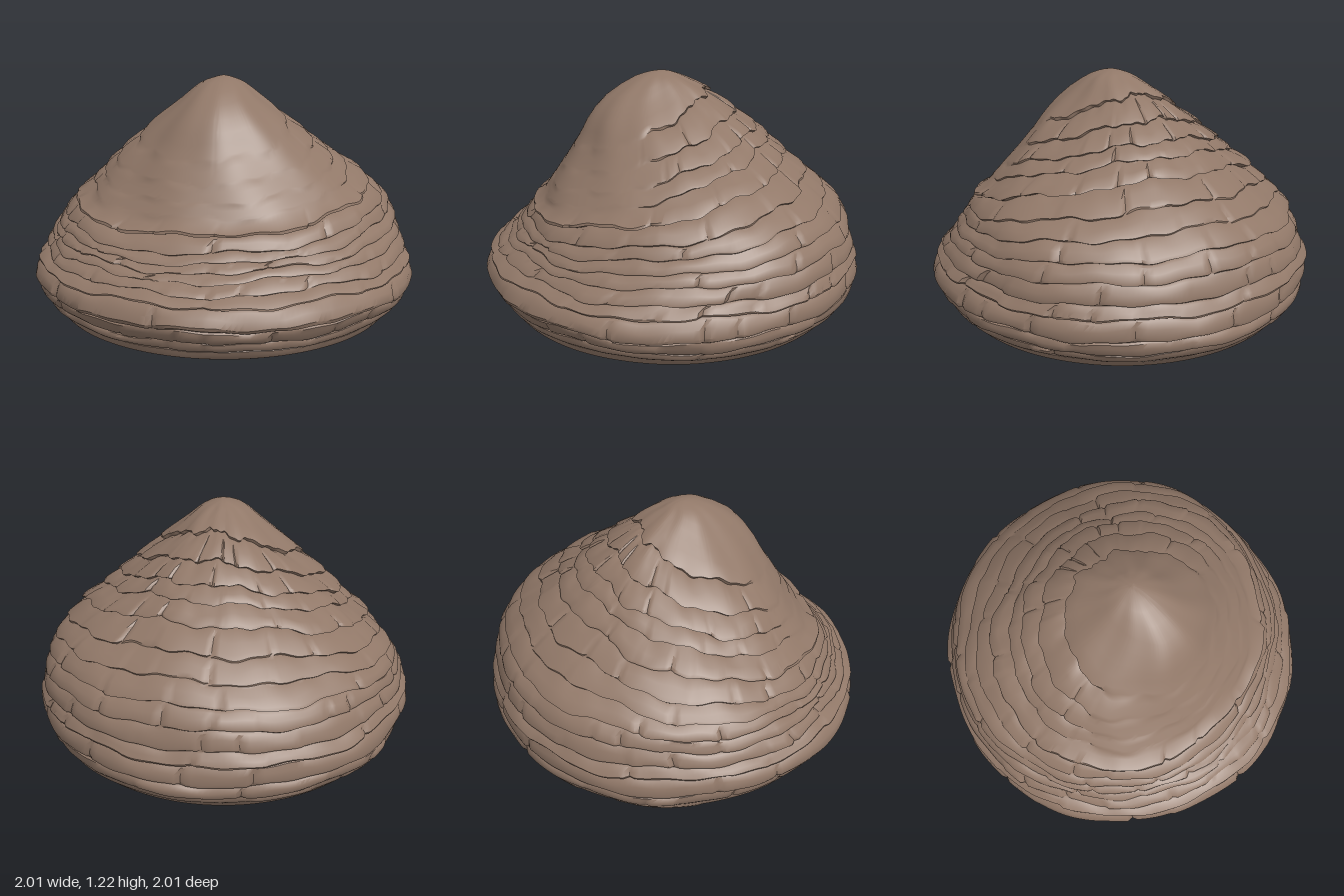
import * as THREE from 'three';
import { toCreasedNormals } from 'three/addons/utils/BufferGeometryUtils.js';

const COLUMNS = 240;
const { smoothstep, lerp } = THREE.MathUtils;

// Mound profile by level: [y, left edge x, right edge x, front edge z, back edge z]
const PROFILE = [
  [0, 0.87, -0.87, 0.87, -0.88],
  [0.1, 0.95, -0.95, 0.93, -0.96],
  [0.2, 0.99, -0.99, 0.99, -0.98],
  [0.3, 0.965, -0.965, 0.94, -0.97],
  [0.4, 0.94, -0.92, 0.83, -0.95],
  [0.5, 0.9, -0.87, 0.75, -0.91],
  [0.6, 0.84, -0.78, 0.68, -0.82],
  [0.7, 0.72, -0.67, 0.61, -0.7],
  [0.8, 0.59, -0.57, 0.54, -0.57],
  [0.9, 0.46, -0.45, 0.48, -0.47],
  [1.0, 0.33, -0.33, 0.43, -0.35],
  [1.1, 0.2, -0.21, 0.34, -0.21],
  [1.18, 0.11, -0.12, 0.21, -0.06],
  [1.21, 0.05, -0.05, 0.13, 0.0],
  [1.222, 0, 0, 0.06, 0.06],
];
const TOP = PROFILE.length - 1;

// Levels where one layer overhangs the next, with the overhang size
const LEDGES = [
  [0, 0.004], [0.5, 0.012], [1.0, 0.012], [1.7, 0.014], [2.75, 0.022], [3.3, 0.012], [4.0, 0.012],
  [4.6, 0.014], [5.2, 0.01], [5.8, 0.011], [6.6, 0.032], [7.4, 0.016], [8.0, 0.018], [8.8, 0.018], [9.8, 0.026],
];

// Rows inside one layer: [height fraction, share of the overhang]
const LAYER_ROWS = [[0, -0.6], [0.09, 0.75], [0.25, 1], [0.6, 0.6], [0.9, 0]];

function hash(a, b) {
  const s = Math.sin(a * 127.1 + b * 311.7 + 4.3) * 43758.5453;
  return s - Math.floor(s);
}

function curveOf(xi, zi, y) {
  const points = PROFILE.map((p) => new THREE.Vector3(p[xi], p[y], p[zi]));
  return new THREE.CatmullRomCurve3(points, false, 'catmullrom', 0.5);
}

// Uneven blocks around one layer: an offset per column, with a notch at some joints
function blockOffsets(layer) {
  const offsets = [];
  let block = 0;
  let left = 0;
  for (let j = 0; j < COLUMNS; j++) {
    let notch = 0;
    if (left === 0) {
      block++;
      left = 5 + Math.floor(hash(layer, block) * 16);
      if (hash(block, layer + 50) > 0.5) notch = -0.012;
    }
    left--;
    offsets.push((hash(layer + 20, block) - 0.5) * 0.012 + notch);
  }
  return offsets;
}

function buildRows() {
  const rows = [];
  LEDGES.forEach(([start, size], layer) => {
    const isCap = layer === LEDGES.length - 1;
    const end = isCap ? TOP : LEDGES[layer + 1][0];
    const blocks = blockOffsets(layer);
    const pattern = isCap
      ? [[0, -0.6], [0.03, 0.6], [0.08, 0.8], [0.16, 0.7], [0.25, 0.5], [0.35, 0.3], [0.45, 0.2],
        [0.55, 0.1], [0.65, 0], [0.75, 0], [0.83, 0], [0.9, 0], [0.96, 0]]
      : LAYER_ROWS;
    for (const [u, share] of pattern) {
      rows.push({ level: lerp(start, end, u), bump: size * share, u, layer, blocks, isCap });
    }
  });
  return rows;
}

function moundGeometry() {
  const outer = curveOf(1, 3, 0);
  const inner = curveOf(2, 4, 0);
  const a = new THREE.Vector3();
  const b = new THREE.Vector3();
  const positions = [];
  const index = [];
  const rows = buildRows();

  rows.forEach((row, i) => {
    const { level, layer } = row;
    // Upper layers lean down towards the front
    const lean = smoothstep(level, 2.5, 6.6) * (1 - smoothstep(level, 10, TOP));
    const settle = Math.min(1, level) * (1 - smoothstep(level, 9.8, 12));
    for (let j = 0; j < COLUMNS; j++) {
      const angle = (j / COLUMNS) * Math.PI * 2;
      const sin = Math.sin(angle);
      const cos = Math.cos(angle);
      const wave = 0.07 * Math.sin(angle * 7 + level * 1.3) + 0.05 * Math.sin(angle * 13 - level * 2.1)
        + 0.03 * Math.sin(angle * 29 + level * 3);
      const shifted = level + lean * (0.4 * sin - 1.3 * cos) + wave * settle;
      const t = Math.min(1, Math.max(0, shifted / TOP));
      outer.getPoint(t, a);
      inner.getPoint(t, b);

      // The front face above the main ledge is worn smooth
      const rough = level > 6.9 ? smoothstep(-cos, -0.75, 0.1) : 1;
      const body = row.u > 0.05 && row.u < 0.7 && !row.isCap ? 1 : 0;
      const fold = 0.006 * Math.sin(angle * 5 + level * 0.9) + 0.004 * Math.sin(angle * 11 + layer);
      const d = row.bump * rough + row.blocks[j] * body * rough * Math.min(1, level)
        + fold * (1 - smoothstep(level, 10, 13.5)) * Math.min(1, level);
      positions.push(
        (a.x + b.x) / 2 + ((a.x - b.x) / 2 + d) * sin,
        i === 0 ? 0 : Math.max(0, a.y),
        (a.z + b.z) / 2 + ((a.z - b.z) / 2 + d) * cos,
      );
      if (i > 0) {
        const next = (j + 1) % COLUMNS;
        const low = (i - 1) * COLUMNS;
        const high = i * COLUMNS;
        index.push(low + j, low + next, high + next, low + j, high + next, high + j);
      }
    }
  });

  // Close the peak and the flat underside
  const peak = rows.length * COLUMNS;
  const last = peak - COLUMNS;
  positions.push(0, PROFILE[TOP][0], PROFILE[TOP][3], 0, 0, 0);
  for (let j = 0; j < COLUMNS; j++) {
    const next = (j + 1) % COLUMNS;
    index.push(last + j, last + next, peak, peak + 1, next, j);
  }

  const geometry = new THREE.BufferGeometry();
  geometry.setAttribute('position', new THREE.Float32BufferAttribute(positions, 3));
  geometry.setIndex(index);
  return toCreasedNormals(geometry, 0.7);
}

export function createModel() {
  const group = new THREE.Group();
  group.name = 'layeredMound';
  const stone = new THREE.MeshStandardMaterial({ color: 0x917868 });
  stone.name = 'brownStone';
  const mound = new THREE.Mesh(moundGeometry(), stone);
  mound.name = 'mound';
  group.add(mound);
  return group;
}
